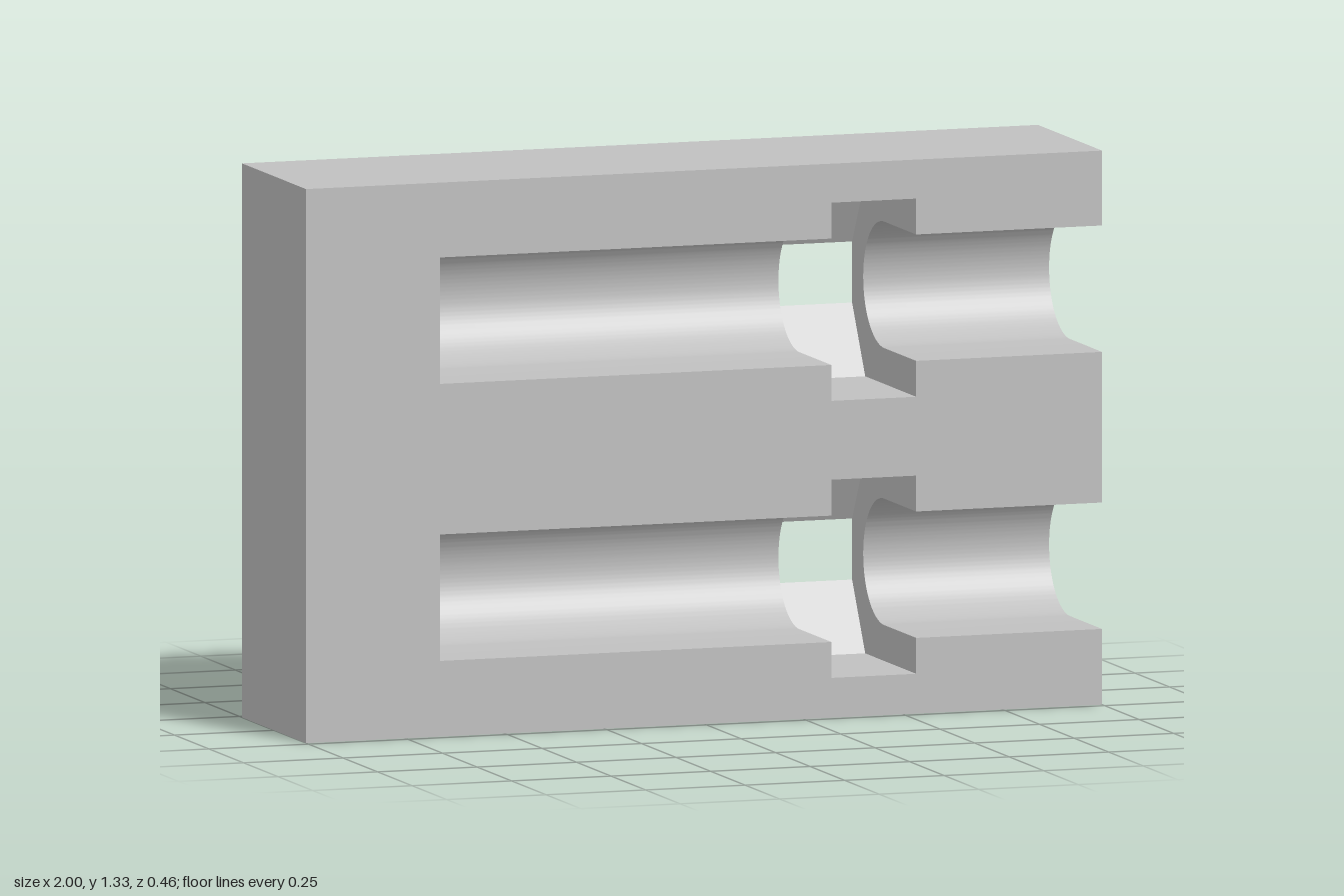
import * as THREE from 'three';
import { toCreasedNormals } from 'three/addons/utils/BufferGeometryUtils.js';

const HEIGHT = 1.328, HALF_DEPTH = 0.232;
const CENTRES = [0.333, 0.997]; // heights of the two channels
const BORE = 0.1515;            // channel radius
const NUT = 0.2375;             // half width of the hexagonal pocket across flats

// Cross-sections are drawn with u = -z (the front is -u) and v = y.
const polygon = (points) => new THREE.Shape(points.map(([u, v]) => new THREE.Vector2(u, v)));

// Full block section
function solidSection() {
  const d = HALF_DEPTH;
  return polygon([[-d, 0], [d, 0], [d, HEIGHT], [-d, HEIGHT]]);
}

// Block section with two round-bottomed channels open to the front
function channelSection() {
  const d = HALF_DEPTH;
  const shape = new THREE.Shape();
  shape.moveTo(-d, 0).lineTo(d, 0).lineTo(d, HEIGHT).lineTo(-d, HEIGHT);
  for (const y of [...CENTRES].reverse()) {
    shape.lineTo(-d, y + BORE).lineTo(0, y + BORE);
    shape.absarc(0, y, BORE, Math.PI / 2, -Math.PI / 2, true);
    shape.lineTo(-d, y - BORE);
  }
  shape.closePath();
  return shape;
}

// Three strips left between the hexagonal pockets, which break through the back
function pocketSections() {
  const d = HALF_DEPTH;
  const corner = NUT / Math.sqrt(3);
  const gap = (2 * corner - d) * Math.sqrt(3); // half height of the back window
  const lowerEdge = (y) => [[d, y - gap], [corner, y - NUT], [-d, y - NUT]];
  const upperEdge = (y) => [[-d, y + NUT], [corner, y + NUT], [d, y + gap]];
  const [low, high] = CENTRES;
  return [
    polygon([[-d, 0], [d, 0], ...lowerEdge(low)]),
    polygon([...upperEdge(low), ...lowerEdge(high)]),
    polygon([...upperEdge(high), [d, HEIGHT], [-d, HEIGHT]]),
  ];
}

export function createModel() {
  const group = new THREE.Group();
  group.name = 'channelBlock';
  const grey = new THREE.MeshStandardMaterial({ color: 0xc0c0c0 });
  grey.name = 'grey';

  // Extrude a section along x from x0 to x1
  const addPart = (name, section, x0, x1) => {
    const extruded = new THREE.ExtrudeGeometry(section, {
      depth: x1 - x0, bevelEnabled: false, curveSegments: 48,
    });
    extruded.rotateY(Math.PI / 2).translate(x0, 0, 0);
    const mesh = new THREE.Mesh(toCreasedNormals(extruded, 0.4), grey);
    mesh.name = name;
    group.add(mesh);
  };

  addPart('solidEnd', solidSection(), -1, -0.663);
  addPart('longChannels', channelSection(), -0.663, 0.32);
  addPart('nutPockets', pocketSections(), 0.32, 0.533);
  addPart('openChannels', channelSection(), 0.533, 1);
  return group;
}
